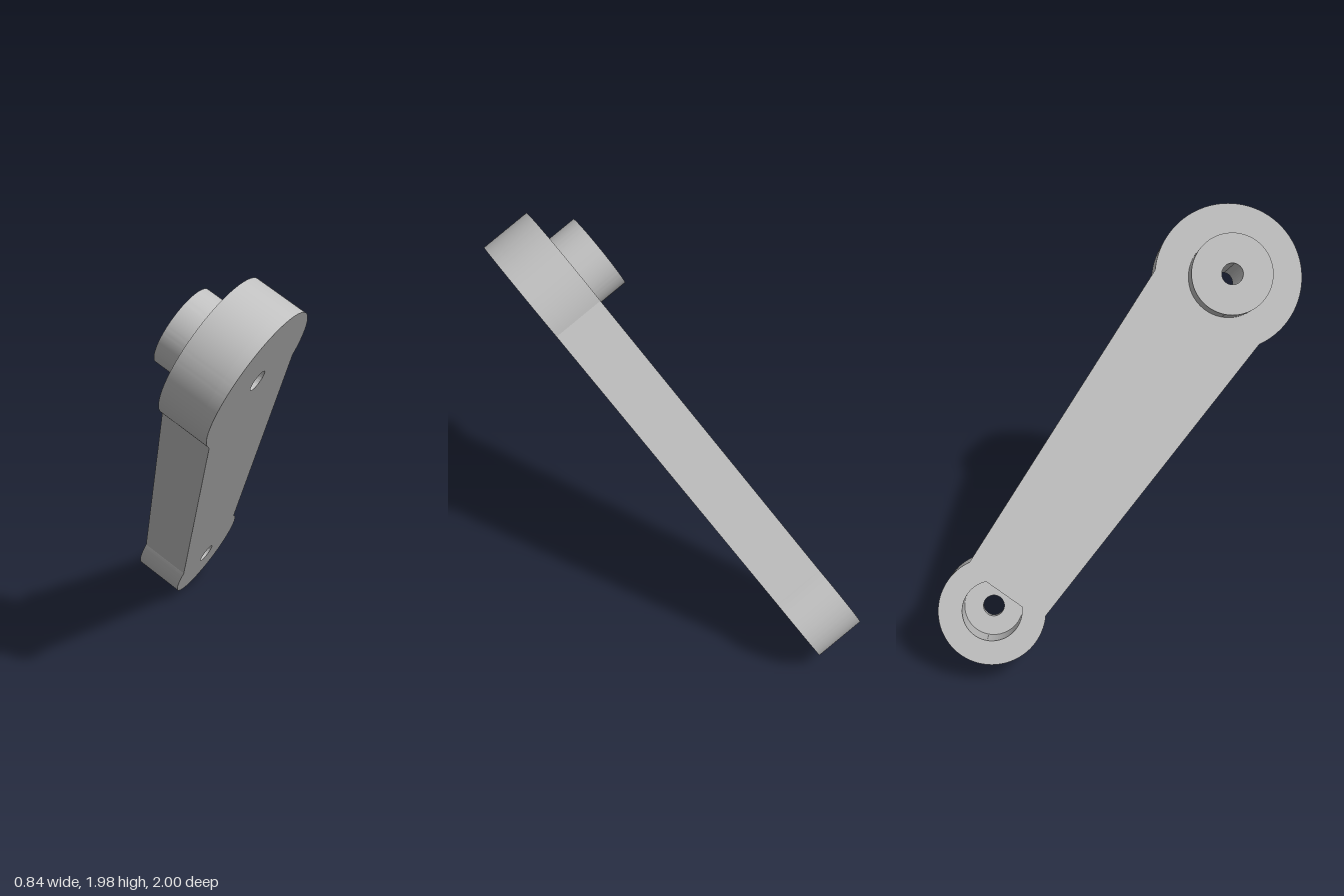
import * as THREE from 'three';
import { toCreasedNormals } from 'three/addons/utils/BufferGeometryUtils.js';

// Local frame: x runs along the arm from big end to small end, z points out of the front face
const LENGTH = 1.921, BIG_R = 0.348, SMALL_R = 0.252, BORE_R = 0.05;
const THICK = 0.254, FLOOR = 0.05, BOSS_R = 0.19, BOSS_H = 0.152;
const POCKET_R = 0.14, POCKET_FLAT = 0.096;

function circle(x, r) {
  return new THREE.Path().absarc(x, 0, r, 0, Math.PI * 2, false);
}

// Two round ends joined by a slightly narrower tapered web
function armOutline() {
  const a = Math.PI / 3;
  const s = new THREE.Shape();
  s.absarc(0, 0, BIG_R, a, Math.PI * 2 - a, false);
  s.absarc(LENGTH, 0, SMALL_R, -(Math.PI - a), Math.PI - a, false);
  s.closePath();
  return s;
}

// D-shaped pocket with its flat towards the arm
function pocketOutline() {
  const a = Math.PI - Math.acos(POCKET_FLAT / POCKET_R);
  const p = new THREE.Path();
  p.absarc(LENGTH, 0, POCKET_R, -a, a, false);
  p.closePath();
  return p;
}

function slab(name, shape, holes, z, depth, material) {
  shape.holes.push(...holes);
  const geo = new THREE.ExtrudeGeometry(shape, { depth, bevelEnabled: false, curveSegments: 64 });
  geo.translate(0, 0, z);
  const mesh = new THREE.Mesh(toCreasedNormals(geo, 0.3), material);
  mesh.name = name;
  return mesh;
}

export function createModel() {
  const grey = new THREE.MeshStandardMaterial({ color: 0xbfbfbf });
  grey.name = 'plain grey';

  const lever = new THREE.Group();
  lever.name = 'leverArm';

  // Rear layer carries the pocket, front layer closes it with a drilled floor
  lever.add(slab('armBody', armOutline(), [circle(0, BORE_R), pocketOutline()],
    0, THICK - FLOOR, grey));
  lever.add(slab('armFrontPlate', armOutline(), [circle(0, BORE_R), circle(LENGTH, BORE_R)],
    THICK - FLOOR, FLOOR, grey));

  // Round boss on the rear of the big end
  const disc = new THREE.Shape().absarc(0, 0, BOSS_R, 0, Math.PI * 2, false);
  lever.add(slab('boss', disc, [circle(0, BORE_R)], -BOSS_H, BOSS_H, grey));

  // Tilt the lever into its pose
  const along = new THREE.Vector3(0.214, -1.331, -1.369).normalize();
  const across = new THREE.Vector3(0.638, -0.496, 0.59).cross(along).normalize();
  const out = along.clone().cross(across);
  lever.quaternion.setFromRotationMatrix(new THREE.Matrix4().makeBasis(along, across, out));
  lever.position.set(0.008, 1.555, 0.722).addScaledVector(out, -THICK);

  const model = new THREE.Group();
  model.name = 'model';
  model.add(lever);
  return model;
}
